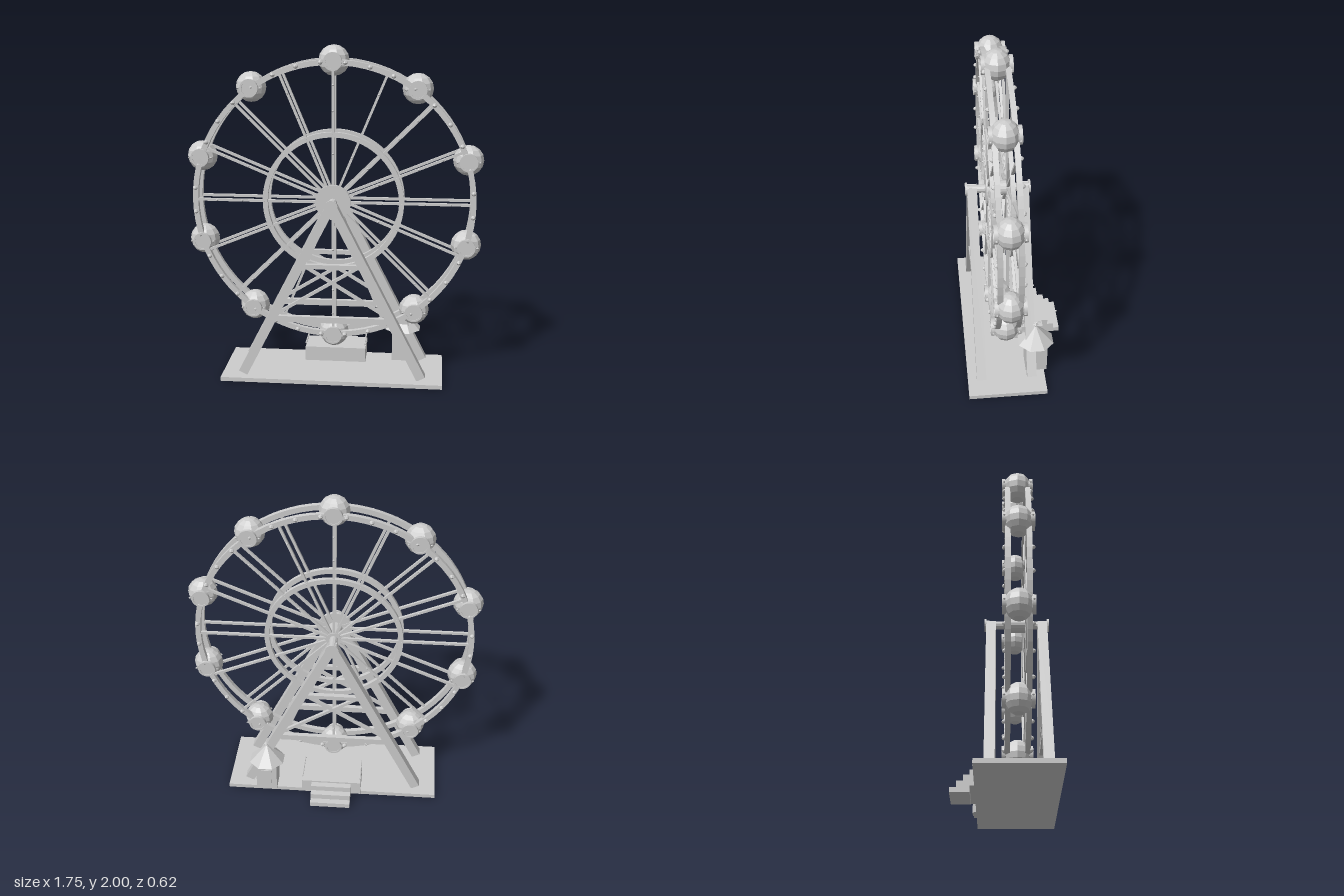
import * as THREE from 'three';

const CY = 1.083, CZ = 0.075, R = 0.825;

export function createModel() {
  const model = new THREE.Group();
  const mat = new THREE.MeshStandardMaterial({ color: 0xcccccc, flatShading: true });
  mat.name = 'paleGrey';

  const add = (name, geo, x = 0, y = 0, z = 0, parent = model) => {
    const m = new THREE.Mesh(geo, mat);
    m.name = name;
    m.position.set(x, y, z);
    parent.add(m);
    return m;
  };
  const box = (name, w, h, d, x, y, z, parent) =>
    add(name, new THREE.BoxGeometry(w, h, d), x, y, z, parent);
  // Disc or rod whose axis runs along z
  const disc = (name, r, len, x, y, z, parent, sides = 24) =>
    add(name, new THREE.CylinderGeometry(r, r, len, sides).rotateX(Math.PI / 2), x, y, z, parent);
  // Straight bar between two points in an xy plane
  const bar = (name, x1, y1, x2, y2, z, width, depth, parent) => {
    const m = box(name, Math.hypot(x2 - x1, y2 - y1), width, depth, (x1 + x2) / 2, (y1 + y2) / 2, z, parent);
    m.rotation.z = Math.atan2(y2 - y1, x2 - x1);
    return m;
  };
  // Flat ring with a rectangular section, centred on z = 0
  const ring = (outer, inner, depth) => {
    const s = new THREE.Shape().absarc(0, 0, outer, 0, Math.PI * 2);
    s.holes.push(new THREE.Path().absarc(0, 0, inner, 0, Math.PI * 2, true));
    return new THREE.ExtrudeGeometry(s, { depth, bevelEnabled: false, curveSegments: 40 })
      .translate(0, 0, -depth / 2);
  };

  // Ground plate
  box('base', 1.33, 0.025, 0.475, 0, 0.0125, CZ);

  // Two A-shaped supports
  for (const side of [1, -1]) {
    const frame = new THREE.Group();
    frame.name = side > 0 ? 'frontSupport' : 'backSupport';
    frame.position.z = CZ + side * 0.155;
    model.add(frame);
    for (const s of [1, -1]) {
      bar('leg', s * 0.537, 0.035, 0, 1.09, 0, 0.056, 0.058, frame);
      bar('diagonalBrace', s * 0.32, 0.42, -s * 0.16, 0.715, 0, 0.018, 0.02, frame);
    }
    box('lowerCrossbar', 0.66, 0.036, 0.03, 0, 0.385, 0, frame);
    box('upperCrossbar', 0.33, 0.026, 0.03, 0, 0.715, 0, frame);
    disc('axleCap', 0.04, 0.012, 0, CY, side * 0.034, frame);
  }
  disc('axle', 0.025, 0.37, 0, CY, CZ, model, 12);

  // Wheel: two parallel sides
  const wheel = new THREE.Group();
  wheel.name = 'wheel';
  wheel.position.set(0, CY, CZ);
  model.add(wheel);
  const rimGeo = ring(0.836, 0.804, 0.03);
  const innerGeo = ring(0.417, 0.387, 0.026);
  const bulbGeo = new THREE.OctahedronGeometry(0.014, 1);
  const studGeo = new THREE.OctahedronGeometry(0.008);
  for (const side of [1, -1]) {
    const z = side * 0.058;
    add('rim', rimGeo, 0, 0, z, wheel);
    add('innerRing', innerGeo, 0, 0, z, wheel);
    for (let i = 0; i < 16; i++) {
      const a = i * Math.PI / 8, c = Math.cos(a), s = Math.sin(a);
      bar('spoke', c * 0.03, s * 0.03, c * 0.81, s * 0.81, z, 0.015, 0.016, wheel);
      for (const r of [0.29, 0.405, 0.54, 0.69])
        add('spokeStud', studGeo, c * r, s * r, z + side * 0.008, wheel);
    }
    for (let i = 0; i < 36; i++) {
      const a = (i * 10 + 5) * Math.PI / 180;
      add('rimBulb', bulbGeo, Math.cos(a) * 0.822, Math.sin(a) * 0.822, z + side * 0.018, wheel);
    }
  }
  disc('hub', 0.045, 0.14, 0, 0, 0, wheel, 16);
  disc('hubPlate', 0.105, 0.02, 0, 0, 0.064, wheel, 32);

  // Ten round cabins with a porthole at each end
  const podGeo = new THREE.SphereGeometry(0.09, 10, 8).scale(1, 1, 0.92);
  const portholeGeo = ring(0.053, 0.042, 0.02);
  for (let i = 0; i < 10; i++) {
    const a = Math.PI / 2 + i * Math.PI / 5;
    const cabin = new THREE.Group();
    cabin.name = 'cabin';
    cabin.position.set(Math.cos(a) * R, Math.sin(a) * R, 0);
    wheel.add(cabin);
    add('cabinShell', podGeo, 0, 0, 0, cabin);
    for (const side of [1, -1]) {
      add('portholeRim', portholeGeo, 0, 0, side * 0.08, cabin);
      disc('porthole', 0.046, 0.03, 0, 0, side * 0.07, cabin, 16);
      for (const s of [1, -1]) add('cabinStud', studGeo, s * 0.065, 0, side * 0.078, cabin);
    }
  }

  // Boarding platform, handrails and steps
  box('platform', 0.375, 0.09, 0.19, 0, 0.07, -0.095);
  for (const s of [1, -1]) disc('handrail', 0.005, 0.18, s * 0.183, 0.142, -0.088, model, 6);
  for (let i = 0; i < 3; i++) {
    const h = 0.1 - i * 0.035;
    box('step', 0.25, h, 0.038, 0, 0.006 + h / 2, -0.21 - i * 0.038);
  }
  add('stepKnob', new THREE.OctahedronGeometry(0.007), 0, 0.066, -0.303);

  // Ticket booth with an eight-sided roof
  box('boothWalls', 0.13, 0.2, 0.13, 0.416, 0.122, -0.115);
  box('boothDoor', 0.065, 0.15, 0.008, 0.416, 0.1, -0.183);
  add('boothRoof', new THREE.ConeGeometry(0.115, 0.115, 8).rotateY(Math.PI / 8), 0.416, 0.277, -0.115);
  add('roofFinial', new THREE.OctahedronGeometry(0.018), 0.416, 0.342, -0.115);

  return model;
}
